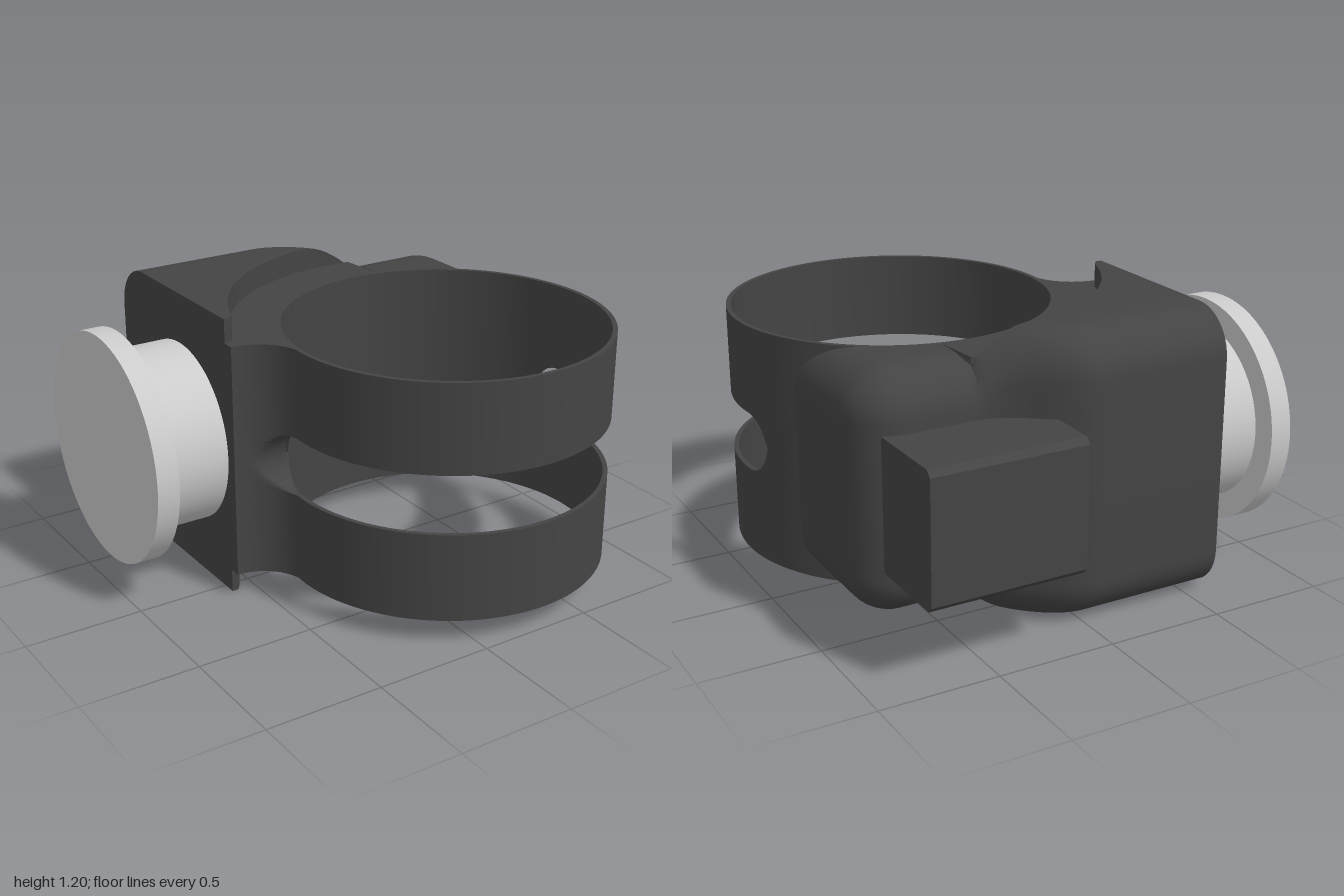
import * as THREE from 'three';
import { toCreasedNormals } from 'three/addons/utils/BufferGeometryUtils.js';

const CX = 0.28, CZ = 0.31;            // ring axis
const R_IN = 0.67, R_MID = 0.68, R_OUT = 0.69;
const MID_Y = 0.6, BAND = 0.5;         // ring mid height and half height
const SLOT = 0.125, SLOT_Z = 0.25;     // slot half height, centre of its round end
const FILLET = 0.2, LEFT = -0.605;     // side face and its fillet into the ring
const EDGE = 0.19, DOME_X = 0.685;     // rounded edges

const dark = new THREE.MeshStandardMaterial({ color: 0x444444 });
const grey = new THREE.MeshStandardMaterial({ color: 0xcccccc });

// Skin a row of equal-length closed sections, optionally with flat end caps.
function loft(sections, caps) {
  const n = sections[0].length, index = [];
  for (let i = 0; i < sections.length - 1; i++) {
    for (let j = 0; j < n; j++) {
      const k = (j + 1) % n;
      const a = i * n + j, b = i * n + k, c = b + n, d = a + n;
      index.push(a, b, c, a, c, d);
    }
  }
  if (caps) {
    for (const s of [0, sections.length - 1]) {
      const outline = sections[s].map(p => new THREE.Vector2(-p.z, p.y));
      for (const [a, b, c] of THREE.ShapeUtils.triangulateShape(outline, [])) {
        const o = s * n;
        if (s) index.push(o + a, o + b, o + c);
        else index.push(o + a, o + c, o + b);
      }
    }
  }
  const g = new THREE.BufferGeometry().setFromPoints(sections.flat());
  g.setIndex(index);
  return toCreasedNormals(g, 0.6);
}

// z of the back half of a circle about the ring axis
const backOfCircle = (r, x) => CZ - Math.sqrt(Math.max(0, r * r - (x - CX) ** 2));

// Housing cross-section at x: rounded back, stepped top and bottom, slotted front.
function housingSection(x) {
  // back and height shrink from the tall block to the low shoulder
  const t = THREE.MathUtils.clamp((x + 0.03) / 0.42, 0, 1);
  let back = -0.84 + 0.2 * (0.5 - 0.5 * Math.cos(Math.PI * t));
  const e = THREE.MathUtils.clamp((x - 0.1) / 0.28, 0, 1);
  let h = BAND + 0.1 * Math.sqrt(1 - e * e);
  let r = EDGE;
  if (x > DOME_X) {
    r = Math.sqrt(Math.max(0, EDGE ** 2 - (x - DOME_X) ** 2));
    h -= EDGE - r;
    back += EDGE - r;
  }
  const front = x < CX - R_MID
    ? CZ - Math.sqrt(Math.max(0, FILLET ** 2 - (x - LEFT) ** 2))
    : backOfCircle(R_MID, x);
  const step = x < 0.38 ? Math.min(0.06, front, backOfCircle(0.88, x)) : front;

  const half = [];                      // [z, height above the middle]
  const topAt = z => {
    const d = Math.max(0, r - (z - back));
    return h - r + Math.sqrt(Math.max(0, r * r - d * d));
  };
  for (let i = 0; i <= 10; i++) {
    const z = Math.min(step, back + r * (1 - Math.cos(i / 10 * Math.PI / 2)));
    half.push([z, topAt(z)]);
  }
  const low = Math.min(BAND, h);
  half.push([step, topAt(step)], [step, low], [front, low], [front, SLOT]);
  for (let i = 0; i <= 8; i++) {
    const a = i / 8 * Math.PI / 2;
    half.push([Math.min(front, SLOT_Z - SLOT * Math.sin(a)), SLOT * Math.cos(a)]);
  }
  const upper = half.map(([z, y]) => new THREE.Vector3(x, MID_Y + y, z));
  const lower = half.map(([z, y]) => new THREE.Vector3(x, MID_Y - y, z)).reverse();
  return upper.concat(lower);
}

function housingGeometry() {
  const xs = [];
  for (let i = 0; i <= 12; i++) xs.push(LEFT + FILLET * Math.sin(i / 12 * Math.PI / 2));
  const end = Math.acos((CX - DOME_X) / R_MID);
  for (let i = 0; i <= 72; i++) xs.push(CX - R_MID * Math.cos(i / 72 * end));
  for (let i = 1; i <= 10; i++) xs.push(DOME_X + EDGE * Math.sin(i / 10 * Math.PI / 2));
  return loft(xs.map(housingSection), true);
}

// Half of the thin ring, above (side 1) or below (side -1) the slot.
function ringGeometry(side) {
  const sections = [], steps = 240;
  for (let i = 0; i <= steps; i++) {
    const a = i / steps * Math.PI * 2;
    const d = Math.max(0, SLOT_Z - (CZ + R_MID * Math.cos(a)));
    const gap = Math.sqrt(Math.max(0, SLOT * SLOT - d * d));
    const ys = [MID_Y + side * gap, MID_Y + side * BAND].sort((p, q) => p - q);
    const at = (r, y) => new THREE.Vector3(CX + r * Math.sin(a), y, CZ + r * Math.cos(a));
    sections.push([at(R_IN, ys[0]), at(R_IN, ys[1]), at(R_OUT, ys[1]), at(R_OUT, ys[0])]);
  }
  return loft(sections, false);
}

// Block on the back with its two rear edges chamfered.
function blockGeometry() {
  const s = new THREE.Shape([
    [0.5, -0.275], [0.975, -0.275], [1, -0.25], [1, 0.25], [0.975, 0.275], [0.5, 0.275],
  ].map(p => new THREE.Vector2(...p)));
  const g = new THREE.ExtrudeGeometry(s, { depth: 0.655, bevelEnabled: false });
  g.rotateY(Math.PI / 2);               // shape x becomes -z, depth becomes x
  g.translate(0.125, MID_Y, 0);
  return g;
}

// Disc on the sideways knob axis between two x positions.
function discGeometry(radius, x0, x1) {
  const g = new THREE.CylinderGeometry(radius, radius, x1 - x0, 64);
  g.rotateZ(Math.PI / 2);
  g.translate((x0 + x1) / 2, MID_Y, -0.325);
  return g;
}

export function createModel() {
  const model = new THREE.Group();
  model.name = 'ringClampWithKnob';
  const add = (name, geometry, material) => {
    const mesh = new THREE.Mesh(geometry, material);
    mesh.name = name;
    model.add(mesh);
  };
  add('housing', housingGeometry(), dark);
  add('upperRing', ringGeometry(1), dark);
  add('lowerRing', ringGeometry(-1), dark);
  add('backBlock', blockGeometry(), dark);
  add('knobShaft', discGeometry(0.385, -0.89, -0.6), grey);
  add('knobFlange', discGeometry(0.49, -0.975, -0.88), grey);
  return model;
}
